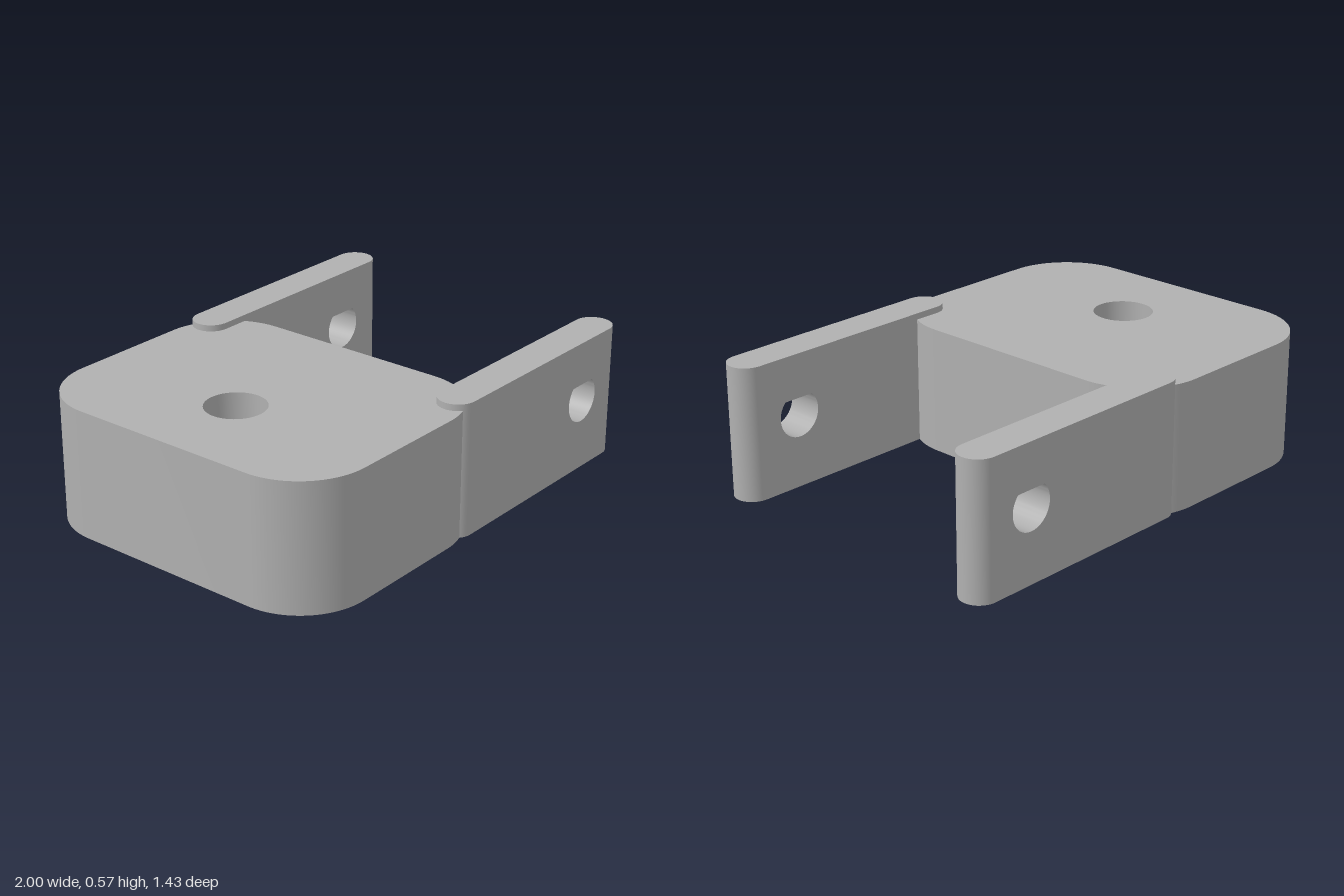
import * as THREE from 'three';
import { toCreasedNormals } from 'three/addons/utils/BufferGeometryUtils.js';

const BLOCK = { x0: -1, x1: 0.115, z: 0.713, height: 0.54, corner: 0.3 };
const ARM = { x0: -0.115, x1: 1, z: 0.633, radius: 0.08, height: 0.567 };

function extrude(shape, depth) {
  const geometry = new THREE.ExtrudeGeometry(shape, { depth, bevelEnabled: false, curveSegments: 24 });
  return toCreasedNormals(geometry, 0.6);
}

// Rounded block with a vertical bolt hole
function blockGeometry() {
  const { x0, x1, z, height, corner: r } = BLOCK;
  const shape = new THREE.Shape();
  shape.moveTo(x0 + r, -z);
  shape.absarc(x1 - r, -z + r, r, -Math.PI / 2, 0);
  shape.absarc(x1 - r, z - r, r, 0, Math.PI / 2);
  shape.absarc(x0 + r, z - r, r, Math.PI / 2, Math.PI);
  shape.absarc(x0 + r, -z + r, r, Math.PI, Math.PI * 1.5);
  const hole = new THREE.Path();
  hole.absarc(-0.59, 0, 0.125, 0, Math.PI * 2, true);
  shape.holes.push(hole);
  return extrude(shape, height).rotateX(-Math.PI / 2);
}

// Flat middle of an arm with a teardrop pin hole
function armPlateGeometry() {
  const { x0, x1, radius, height } = ARM;
  const a = x0 + radius, b = x1 - radius;
  const shape = new THREE.Shape();
  shape.moveTo(a, 0);
  shape.lineTo(b, 0);
  shape.lineTo(b, height);
  shape.lineTo(a, height);
  shape.closePath();
  const r = 0.097, cx = 0.733, cy = 0.312;
  const hole = new THREE.Path();
  hole.moveTo(cx, cy + r * Math.SQRT2);
  hole.absarc(cx, cy, r, Math.PI / 4, Math.PI * 0.75, true);
  hole.closePath();
  shape.holes.push(hole);
  return extrude(shape, radius * 2).translate(0, 0, -radius);
}

// Half-round end; side is +1 for the tip, -1 for the root
function armEndGeometry(side) {
  const { x0, x1, radius, height } = ARM;
  const start = side > 0 ? 0 : Math.PI;
  const x = side > 0 ? x1 - radius : x0 + radius;
  return new THREE.CylinderGeometry(radius, radius, height, 24, 1, false, start, Math.PI)
    .translate(x, height / 2, 0);
}

export function createModel() {
  const model = new THREE.Group();
  model.name = 'clevisBracket';
  const grey = new THREE.MeshStandardMaterial({ color: 0xb0b0b0 });
  grey.name = 'grey';

  const add = (parent, name, geometry) => {
    const mesh = new THREE.Mesh(geometry, grey);
    mesh.name = name;
    parent.add(mesh);
  };

  add(model, 'mountingBlock', blockGeometry());

  // Two parallel arms
  for (const side of [1, -1]) {
    const arm = new THREE.Group();
    arm.name = side > 0 ? 'frontArm' : 'backArm';
    arm.position.z = side * ARM.z;
    add(arm, 'armPlate', armPlateGeometry());
    add(arm, 'armTip', armEndGeometry(1));
    add(arm, 'armRoot', armEndGeometry(-1));
    model.add(arm);
  }
  return model;
}
